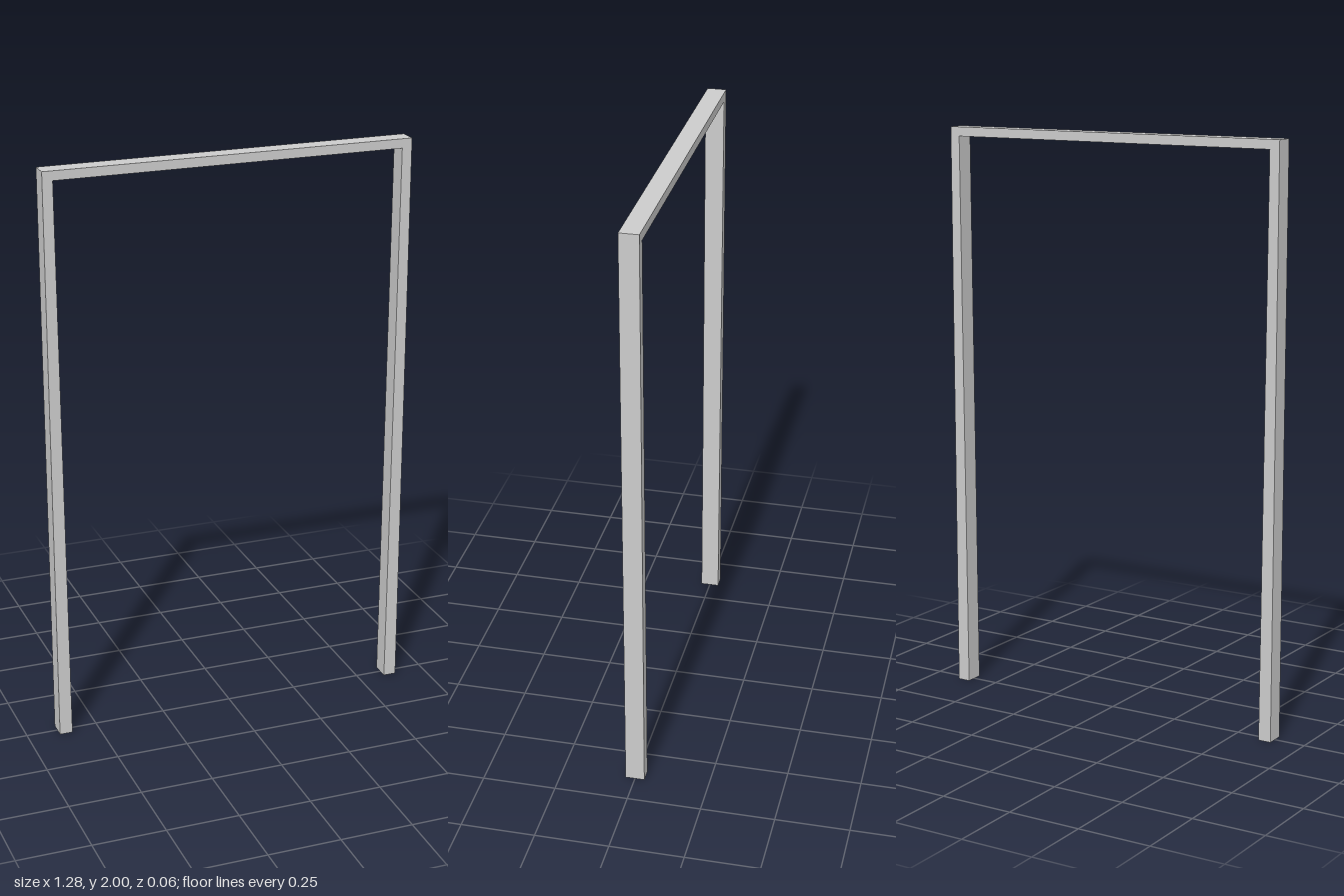
import * as THREE from 'three';

const HALF_WIDTH = 0.64, HEIGHT = 2, HALF_DEPTH = 0.0325;
const INNER_FOOT = 0.595, INNER_TOP = 0.605, LINTEL_BOTTOM = 1.968;

// Sweep a four-cornered section through the mitred stations, leaving the ends open
function sweepFrame(stations) {
  const rings = stations.map(({ outer, inner }) => [
    [...outer, HALF_DEPTH], [...outer, -HALF_DEPTH],
    [...inner, -HALF_DEPTH], [...inner, HALF_DEPTH],
  ]);
  const positions = [];
  for (let s = 0; s < rings.length - 1; s++) {
    for (let j = 0; j < 4; j++) {
      const k = (j + 1) % 4;
      const a = rings[s][j], b = rings[s][k];
      const c = rings[s + 1][k], d = rings[s + 1][j];
      positions.push(...a, ...c, ...b, ...a, ...d, ...c);
    }
  }
  const geometry = new THREE.BufferGeometry();
  geometry.setAttribute('position', new THREE.Float32BufferAttribute(positions, 3));
  geometry.computeVertexNormals();
  return geometry;
}

export function createModel() {
  const group = new THREE.Group();
  group.name = 'doorFrame';
  const material = new THREE.MeshStandardMaterial({
    color: 0xcccccc, flatShading: true, side: THREE.DoubleSide,
  });

  const foot = (side) => ({ outer: [side * HALF_WIDTH, 0], inner: [side * INNER_FOOT, 0] });
  const corner = (side) => ({
    outer: [side * HALF_WIDTH, HEIGHT], inner: [side * INNER_TOP, LINTEL_BOTTOM],
  });

  // Two slightly tapered posts joined by a lintel
  const parts = {
    rightPost: [foot(-1), corner(-1)],
    lintel: [corner(-1), corner(1)],
    leftPost: [corner(1), foot(1)],
  };
  for (const [name, stations] of Object.entries(parts)) {
    const mesh = new THREE.Mesh(sweepFrame(stations), material);
    mesh.name = name;
    group.add(mesh);
  }
  return group;
}
